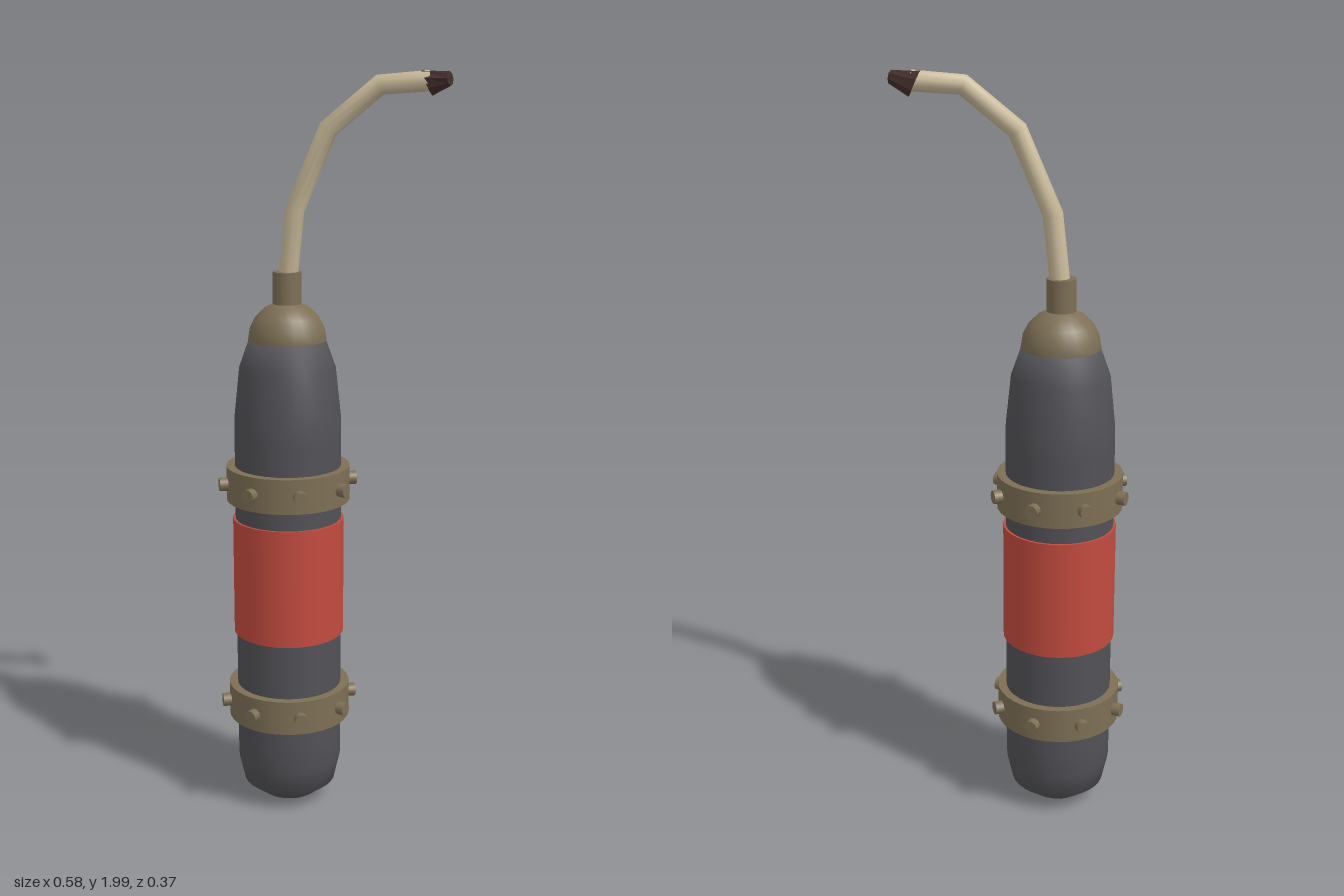
import * as THREE from 'three';

const mat = (name, color) => {
  const m = new THREE.MeshStandardMaterial({ color });
  m.name = name;
  return m;
};

export function createModel() {
  const steel = mat('dark steel', 0x525257);
  const brass = mat('dull brass', 0x7d6f55);
  const red = mat('red paint', 0xc24b3f);
  const cream = mat('cream pipe', 0xc8b999);
  const brown = mat('dark brown', 0x432f2b);
  const model = new THREE.Group();
  const tank = new THREE.Group();
  tank.name = 'tank';
  tank.position.x = -0.107;
  model.add(tank);

  const add = (parent, name, geometry, material, y = 0) => {
    const mesh = new THREE.Mesh(geometry, material);
    mesh.name = name;
    mesh.position.y = y;
    parent.add(mesh);
    return mesh;
  };
  const lathe = (points, n) =>
    new THREE.LatheGeometry(points.map(([r, y]) => new THREE.Vector2(r, y)), n);

  // Tank body with rounded bottom and tapering shoulder
  add(tank, 'body', lathe([
    [0, 0.003], [0.075, 0.016], [0.126, 0.055], [0.142, 0.125], [0.143, 0.2],
    [0.143, 1.04], [0.142, 1.1], [0.128, 1.232], [0.103, 1.303], [0, 1.32],
  ], 32), steel);

  // Painted sleeve
  add(tank, 'sleeve', new THREE.CylinderGeometry(0.15, 0.15, 0.324, 32), red, 0.658);

  // Cap dome and neck
  add(tank, 'dome',
    new THREE.SphereGeometry(0.104, 24, 5, 0, Math.PI * 2, 0, Math.PI / 2), brass, 1.305);
  add(tank, 'domeBase', new THREE.CircleGeometry(0.104, 24).rotateX(Math.PI / 2), brass, 1.305);
  add(tank, 'neck', new THREE.CylinderGeometry(0.038, 0.038, 0.11, 20), brass, 1.43);

  // Two clamp bands, each with eight bolts
  for (const y of [0.298, 0.919]) {
    const band = new THREE.Group();
    band.name = 'band';
    band.position.y = y;
    tank.add(band);
    add(band, 'hoop', new THREE.CylinderGeometry(0.166, 0.166, 0.094, 32), brass);
    for (let i = 0; i < 8; i++) {
      const bolt = new THREE.CylinderGeometry(0.018, 0.018, 0.05, 10);
      bolt.rotateZ(-Math.PI / 2).translate(0.162, 0, 0).rotateY(i * Math.PI / 4);
      add(band, 'bolt', bolt, brass);
    }
  }

  // Bent pipe: one ring of the tube at each bend
  const path = new THREE.CatmullRomCurve3([
    [-0.107, 1.44, 0], [-0.083, 1.645, -0.002], [0.0, 1.85, -0.032],
    [0.12, 1.958, -0.085], [0.235, 1.968, -0.138],
  ].map((p) => new THREE.Vector3(...p)));
  path.getUtoTmapping = (u) => u;
  add(model, 'pipe', new THREE.TubeGeometry(path, 4, 0.026, 10), cream);

  // Nozzle: a skewed frustum between a tilted base ring and an upright tip ring
  const up = new THREE.Vector3(0, 1, 0);
  const ends = [
    { c: [0.222, 1.962, -0.142], n: [0.82, 0.42, -0.35], r: 0.036 },
    { c: [0.289, 1.973, -0.138], n: [0.99, 0.1, -0.05], r: 0.018 },
  ].map((e) => ({
    c: new THREE.Vector3(...e.c), r: e.r,
    q: new THREE.Quaternion().setFromUnitVectors(up, new THREE.Vector3(...e.n).normalize()),
  }));
  const nozzle = new THREE.CylinderGeometry(1, 1, 2, 8).toNonIndexed();
  const pos = nozzle.attributes.position;
  const v = new THREE.Vector3();
  for (let i = 0; i < pos.count; i++) {
    v.fromBufferAttribute(pos, i);
    const e = ends[v.y > 0 ? 1 : 0];
    v.setY(0).multiplyScalar(e.r).applyQuaternion(e.q).add(e.c);
    pos.setXYZ(i, v.x, v.y, v.z);
  }
  nozzle.computeVertexNormals();
  add(model, 'nozzle', nozzle, brown);

  return model;
}
